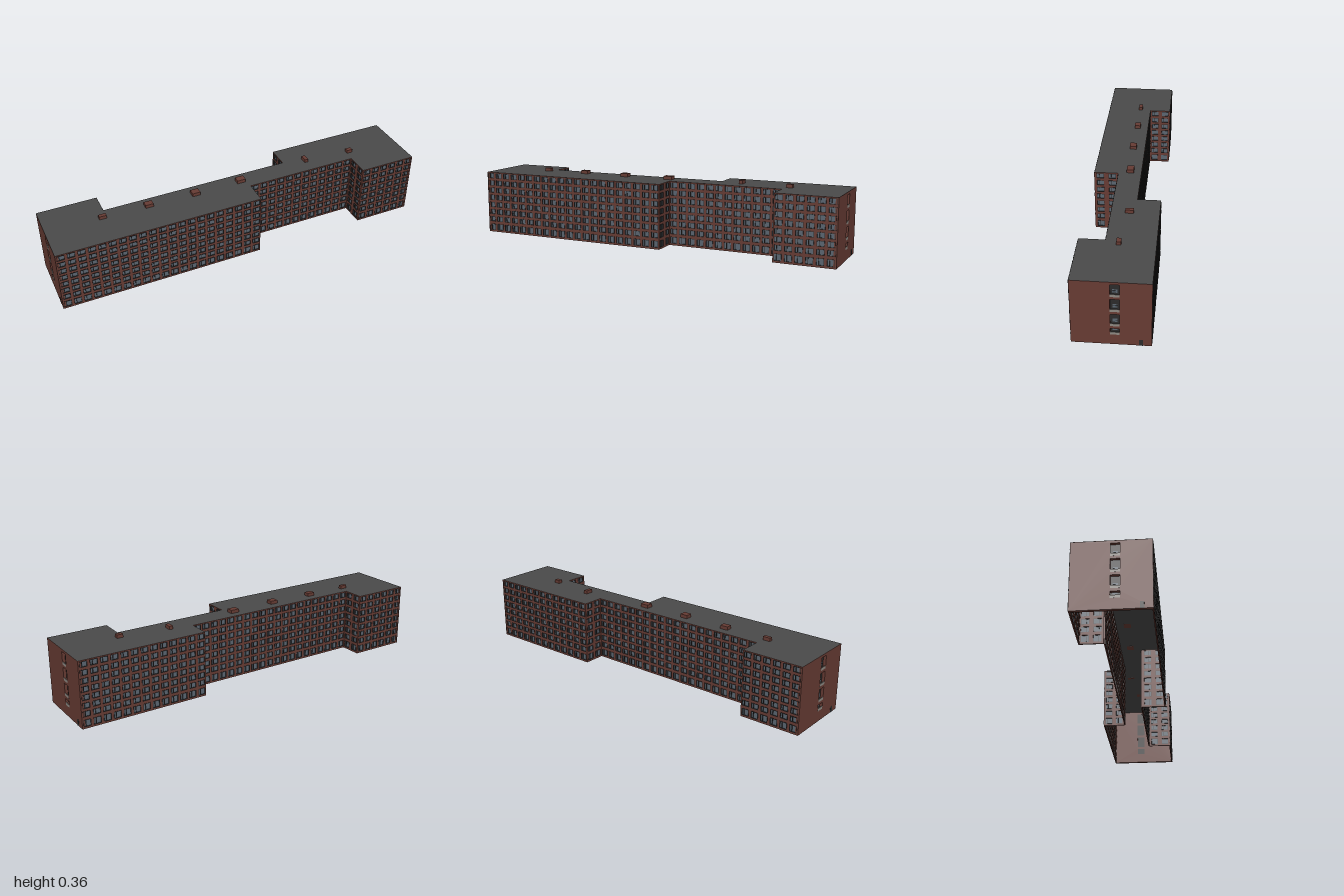
import * as THREE from 'three';
import { mergeGeometries } from 'three/addons/utils/BufferGeometryUtils.js';

const HEIGHT = 0.338;
const paint = (color, side = THREE.FrontSide) => new THREE.MeshStandardMaterial({ color, side });
const brick = paint(0x663b33);
const roofGrey = paint(0x4a4a4a, THREE.DoubleSide);
const glass = paint(0x5a6570, THREE.DoubleSide);
const dark = paint(0x2b2a2a, THREE.DoubleSide);
const concrete = paint(0x8c8781);

// Footprint corners with the bay count of the wall that starts there (0 = stair end wall)
const OUTLINE = [
  [-0.99, 0.177, 21], [0.077, 0.177, 2], [0.077, 0.053, 12], [0.68, 0.053, 2],
  [0.68, 0.177, 6], [0.99, 0.177, 0], [0.99, -0.18, 13], [0.324, -0.18, 2],
  [0.324, -0.065, 20], [-0.679, -0.065, 2], [-0.679, -0.18, 6], [-0.99, -0.18, 0],
];

function box(w, h, d, x, y, z) {
  return new THREE.BoxGeometry(w, h, d).translate(x, y, z);
}

function pane(w, h, x, y, z) {
  return new THREE.PlaneGeometry(w, h).translate(x, y, z);
}

function part(name, geometries, material) {
  const mesh = new THREE.Mesh(mergeGeometries(geometries), material);
  mesh.name = name;
  return mesh;
}

// Brick sheet with rectangular openings; outer face at z = 0
function wallSheet(length, openings, thickness) {
  const shape = new THREE.Shape();
  shape.moveTo(0, 0).lineTo(length, 0).lineTo(length, HEIGHT).lineTo(0, HEIGHT).closePath();
  for (const { x, y, w, h } of openings) {
    const hole = new THREE.Path();
    hole.moveTo(x - w / 2, y).lineTo(x - w / 2, y + h).lineTo(x + w / 2, y + h).lineTo(x + w / 2, y).closePath();
    shape.holes.push(hole);
  }
  return new THREE.ExtrudeGeometry(shape, { depth: thickness, bevelEnabled: false }).translate(0, 0, -thickness);
}

// Eight storeys of framed windows
function windowWall(length, bays) {
  const group = new THREE.Group();
  group.name = 'windowWall';
  const openings = [], panes = [], frames = [];
  const pitch = length / bays;
  const w = 0.038, bar = 0.0016, depth = 0.006;
  for (let floor = 0; floor < 8; floor++) {
    const y = floor ? 0.06 + 0.0408 * (floor - 1) : 0.01;
    const h = floor ? 0.028 : 0.035;
    for (let bay = 0; bay < bays; bay++) {
      const x = (bay + 0.5) * pitch;
      openings.push({ x, y, w, h });
      panes.push(pane(w, h, x, y + h / 2, -0.003));
      // jambs, mullion, sill and head
      for (const dx of [-w / 2 + bar / 2, -w * 0.17, w / 2 - bar / 2]) {
        frames.push(box(bar, h, depth, x + dx, y + h / 2, -0.001));
      }
      for (const dy of [bar / 2, h - bar / 2]) {
        frames.push(box(w, bar, depth, x, y + dy, -0.001));
      }
    }
  }
  group.add(part('brickFacade', [wallSheet(length, openings, 0.006)], brick));
  group.add(part('windowPanes', panes, glass));
  group.add(part('windowFrames', frames, dark));
  return group;
}

// Plain gable wall with a column of stair loggias and a door
function stairWall(length) {
  const group = new THREE.Group();
  group.name = 'stairEndWall';
  const x = length / 2 + 0.017, w = 0.042;
  const levels = [[0.054, 0.087], [0.101, 0.166], [0.18, 0.247], [0.26, 0.325]];
  const openings = [], backs = [], panes = [], rails = [], bars = [];
  for (const [bottom, top] of levels) {
    const h = top - bottom;
    openings.push({ x, y: bottom, w, h });
    backs.push(pane(w, h, x, bottom + h / 2, -0.0145));
    panes.push(pane(0.022, 0.018, x, bottom + 0.023, -0.0135));
    bars.push(box(0.022, 0.001, 0.001, x, bottom + 0.024, -0.013));
    rails.push(box(w, 0.014, 0.003, x, bottom + 0.007, -0.0012));
  }
  const door = { x: length / 2 + 0.131, y: 0, w: 0.017, h: 0.032 };
  group.add(part('brickGable', [wallSheet(length, openings, 0.015)], brick));
  group.add(part('loggiaBacks', backs, dark));
  group.add(part('loggiaWindows', panes, glass));
  group.add(part('loggiaWindowBars', bars, dark));
  group.add(part('balustrades', rails, concrete));
  group.add(part('door', [box(door.w, door.h, 0.002, door.x, door.h / 2, 0)], dark));
  return group;
}

export function createModel() {
  const model = new THREE.Group();
  model.name = 'apartmentBlock';
  const building = new THREE.Group();
  building.name = 'building';
  building.rotation.y = 0.0535;
  model.add(building);

  // Walls around the footprint
  OUTLINE.forEach(([x, z, bays], i) => {
    const [nx, nz] = OUTLINE[(i + 1) % OUTLINE.length];
    const length = Math.hypot(nx - x, nz - z);
    const wall = bays ? windowWall(length, bays) : stairWall(length);
    wall.position.set(x, 0, z);
    wall.rotation.y = Math.atan2(z - nz, nx - x);
    building.add(wall);
  });

  // Flat roof
  const outline = new THREE.Shape(OUTLINE.map(([x, z]) => new THREE.Vector2(x, -z)));
  const roofSheet = new THREE.ShapeGeometry(outline).rotateX(-Math.PI / 2).translate(0, HEIGHT + 0.0006, 0);
  building.add(part('flatRoof', [roofSheet], roofGrey));

  // Chimney stacks: x, z, width, depth
  const stacks = [
    [-0.7, 0.03, 0.038, 0.02], [-0.46, 0.018, 0.042, 0.032], [-0.21, 0.01, 0.042, 0.036],
    [0.045, -0.01, 0.046, 0.036], [0.44, -0.06, 0.02, 0.04], [0.7, -0.048, 0.032, 0.022],
  ];
  for (const [x, z, w, d] of stacks) {
    const stack = part('chimneyStack', [box(w, 0.018, d, 0, 0.009, 0)], brick);
    stack.position.set(x, HEIGHT, z);
    stack.rotation.y = 0.0535;
    model.add(stack);
  }
  return model;
}
